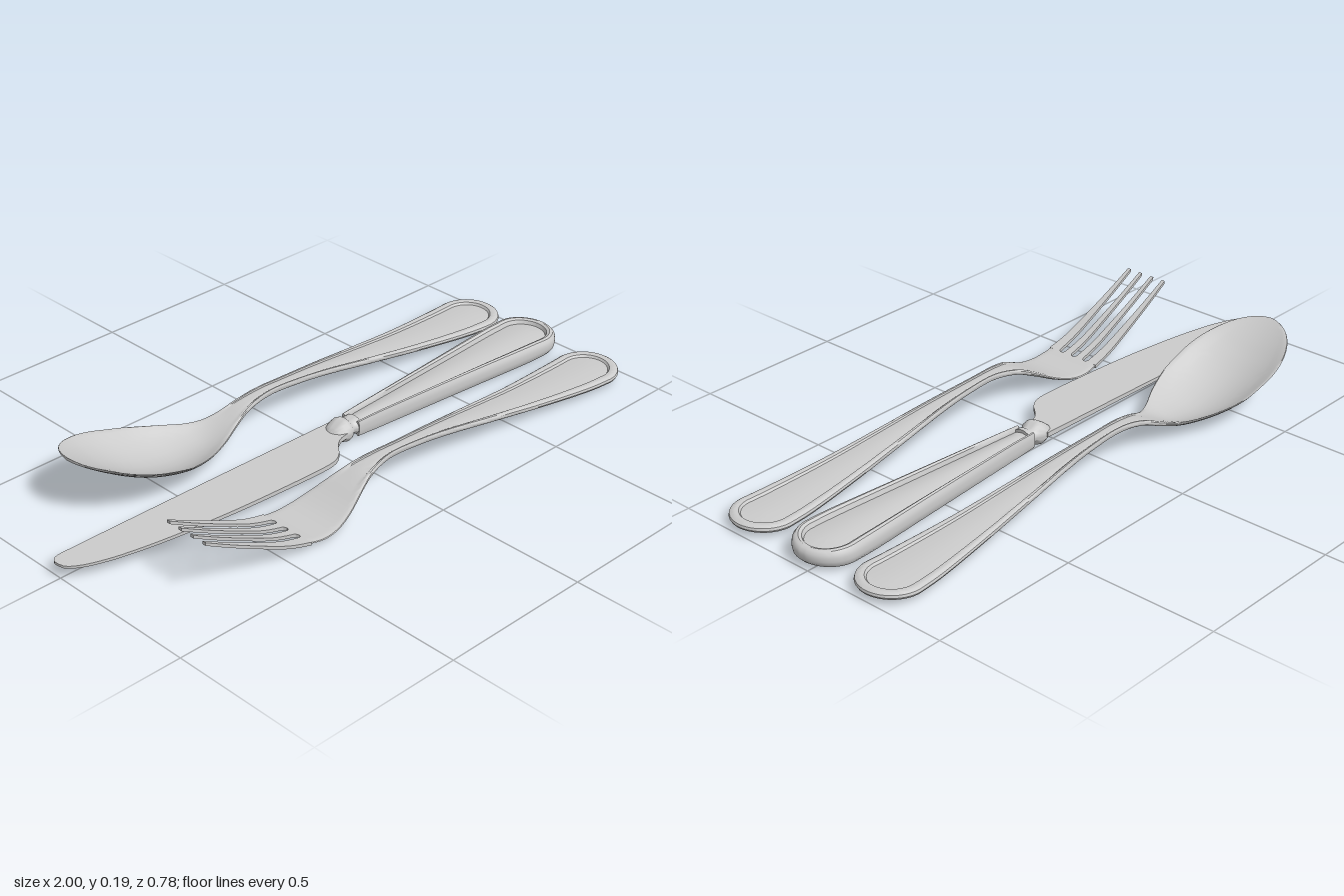
import * as THREE from 'three';
import { toCreasedNormals } from 'three/addons/utils/BufferGeometryUtils.js';

const material = new THREE.MeshStandardMaterial({ color: 0xcccccc, side: THREE.DoubleSide });

// Smooth curve through [x, value] points
function curve(pts) {
  const slope = pts.map((p, i) => {
    const a = pts[Math.max(i - 1, 0)], b = pts[Math.min(i + 1, pts.length - 1)];
    return (b[1] - a[1]) / (b[0] - a[0]);
  });
  return (x) => {
    if (x <= pts[0][0]) return pts[0][1];
    if (x >= pts[pts.length - 1][0]) return pts[pts.length - 1][1];
    const i = pts.findIndex((p) => p[0] > x) - 1;
    const h = pts[i + 1][0] - pts[i][0], t = (x - pts[i][0]) / h, t2 = t * t, t3 = t2 * t;
    return (2 * t3 - 3 * t2 + 1) * pts[i][1] + (t3 - 2 * t2 + t) * h * slope[i]
      + (3 * t2 - 2 * t3) * pts[i + 1][1] + (t3 - t2) * h * slope[i + 1];
  };
}

// Skin a list of closed rings running towards +x, with both ends capped
function loft(name, rings, crease = 0.6) {
  const cap = (ring) => {
    const c = [0, 1, 2].map((k) => ring.reduce((s, p) => s + p[k], 0) / ring.length);
    return ring.map(() => c);
  };
  const all = [cap(rings[0]), ...rings, cap(rings[rings.length - 1])];
  const n = rings[0].length, index = [];
  for (let j = 0; j < all.length - 1; j++) {
    for (let k = 0; k < n; k++) {
      const a = j * n + k, b = j * n + (k + 1) % n;
      index.push(a, a + n, b, b, a + n, b + n);
    }
  }
  const geo = new THREE.BufferGeometry();
  geo.setAttribute('position', new THREE.Float32BufferAttribute(all.flat(2), 3));
  geo.setIndex(index);
  const mesh = new THREE.Mesh(toCreasedNormals(geo, crease), material);
  mesh.name = name;
  return mesh;
}

// Half sections [across, height], from bottom centre round the edge to top centre
const underside = [[0, -1], [0.2, -1], [0.4, -0.98], [0.6, -0.92], [0.76, -0.8], [0.89, -0.6], [0.97, -0.3], [1, 0.1]];
const rimmedTop = [[0.98, 0.6], [0.91, 0.92], [0.82, 1], [0.73, 0.85], [0.68, 0.4], [0.5, 0.5], [0.25, 0.6], [0, 0.64]];
const flatTop = [0.6, 0.9, 1, 1, 1, 1, 1, 1];
const handleSection = [...underside, ...rimmedTop];
const flatSection = handleSection.map((p, i) => [p[0], i < 8 ? p[1] : flatTop[i - 8]]);
const knifeSection = [...rimmedTop.map(([u, v]) => [u, -v]).reverse(), [1, -0.2], [1, 0.2], ...rimmedTop];

// Long body ending in a round handle end; the section turns about the end's centre
const END = 0.895, RADIUS = 0.105;
function body(name, start, { section, width, mid, thick, dish = () => 0, blend = () => 1 }) {
  const stations = [], N = 90, A = 18;
  for (let i = 0; i <= N; i++) {
    const x = start + (END - start) * (i / N) ** 1.5;
    stations.push([x, 0, width(x)]);
  }
  for (let i = 1; i <= A; i++) {
    const a = (i / A) * Math.PI / 2;
    stations.push([END, RADIUS * Math.sin(a), RADIUS * Math.cos(a)]);
  }
  const rings = stations.map(([sx, ox, w]) => {
    const point = (k, side) => {
      const u = section[k][0], x = sx + u * ox;
      const v = section === knifeSection ? section[k][1]
        : THREE.MathUtils.lerp(flatSection[k][1], section[k][1], blend(x));
      return [x, mid(x) - dish(x) * (1 - u * u) + thick(x) * v, side * u * w];
    };
    const keys = section.map((_, k) => k);
    return [...keys.map((k) => point(k, 1)), ...keys.slice(1, -1).reverse().map((k) => point(k, -1))];
  });
  return loft(name, rings);
}

// Flat bar with edges z0(x) and z1(x)
const slab = (name, xs, z0, z1, mid, thick) => loft(name, xs.map((x) => {
  const y = mid(x), t = thick(x), a = z0(x), b = z1(x);
  return [[x, y - t, b], [x, y + t, b], [x, y + t, a], [x, y - t, a]];
}));

const handleWidth = [[0, 0.023], [0.1, 0.026], [0.2, 0.034], [0.4, 0.055], [0.6, 0.076], [0.8, 0.098], [END, RADIUS]];
const handleMid = [[-0.12, 0.093], [-0.04, 0.106], [0.05, 0.104], [0.2, 0.092], [0.4, 0.067], [0.6, 0.043], [0.8, 0.026], [0.9, 0.023], [1, 0.025]];
const thick = curve([[-0.785, 0.005], [-0.3, 0.006], [-0.15, 0.01], [0, 0.012], [0.5, 0.013], [0.9, 0.016], [1, 0.015]]);
const blend = (x) => THREE.MathUtils.smoothstep(x, -0.22, -0.05);

function createSpoon() {
  const g = new THREE.Group();
  g.name = 'spoon';
  const bowlWidth = curve([[-0.55, 0.166], [-0.45, 0.158], [-0.35, 0.125], [-0.27, 0.085], [-0.2, 0.054], [-0.12, 0.033], ...handleWidth]);
  g.add(body('spoonBowlAndHandle', -0.785, {
    section: handleSection, thick, blend,
    width: (x) => x < -0.55 ? 0.166 * Math.sqrt(Math.max(0, 1 - ((x + 0.55) / 0.235) ** 2)) : bowlWidth(x),
    mid: curve([[-0.785, 0.19], [-0.65, 0.145], [-0.45, 0.086], [-0.3, 0.058], [-0.24, 0.056], [-0.19, 0.068], ...handleMid]),
    dish: curve([[-0.785, 0], [-0.7, 0.026], [-0.65, 0.041], [-0.58, 0.056], [-0.5, 0.062], [-0.4, 0.056], [-0.3, 0.032], [-0.22, 0.008], [-0.15, 0]]),
  }));
  g.position.z = -0.224;
  return g;
}

function createFork() {
  const g = new THREE.Group();
  g.name = 'fork';
  const root = -0.415, tip = -0.785, slot = 0.011;
  const mid = curve([[tip, 0.187], [-0.7, 0.142], [-0.6, 0.093], [-0.5, 0.048], [-0.42, 0.024], [-0.36, 0.014], [-0.3, 0.02], [-0.24, 0.04], [-0.18, 0.068], ...handleMid]);
  g.add(body('forkPalmAndHandle', root, {
    section: handleSection, thick, blend, mid,
    width: curve([[root, 0.098], [-0.36, 0.101], [-0.3, 0.096], [-0.24, 0.082], [-0.18, 0.062], [-0.12, 0.043], [-0.06, 0.03], ...handleWidth]),
  }));
  // Four tapering tines with round-bottomed slots between them
  const xs = [];
  for (let i = 0; i <= 24; i++) xs.push(tip + (root - slot - tip) * i / 24);
  for (let i = 1; i <= 8; i++) xs.push(root - slot * (1 - Math.sin(i / 8 * Math.PI / 2)));
  const gap = (x) => slot * Math.sqrt(Math.max(0, 1 - Math.max(0, 1 - (root - x) / slot) ** 2));
  for (let i = 0; i < 4; i++) {
    const edge = (side) => (x) => {
      const s = (root - x) / (root - tip);
      const inner = side < 0 ? i > 0 : i < 3;
      const atRoot = (i - 1.5 + side / 2) * 0.049 - (inner ? side * gap(x) : 0);
      return THREE.MathUtils.lerp(atRoot, (i - 1.5) * 0.048 + side * 0.006, s);
    };
    g.add(slab('tine' + (i + 1), xs, edge(-1), edge(1), mid, thick));
  }
  g.position.z = 0.285;
  return g;
}

function createKnife() {
  const g = new THREE.Group();
  g.name = 'knife';
  const y = 0.039, z = 0.021;
  const handle = body('knifeHandle', 0.1, {
    section: knifeSection, mid: () => y,
    width: curve([[0.1, 0.038], [0.2, 0.045], [0.4, 0.062], [0.6, 0.08], [0.8, 0.099], [END, RADIUS]]),
    thick: curve([[0.1, 0.027], [0.2, 0.03], [0.8, 0.032], [0.92, 0.029], [1, 0.024]]),
  });
  // Swollen collar between blade and handle
  const profile = [[0.01, 0.02, 0.008], [0.025, 0.035, 0.02], [0.045, 0.042, 0.033], [0.06, 0.044, 0.039], [0.073, 0.041, 0.036], [0.084, 0.032, 0.025], [0.093, 0.032, 0.024], [0.1, 0.037, 0.028], [0.115, 0.037, 0.028]];
  const collar = loft('collar', profile.map(([x, w, h]) => Array.from({ length: 32 }, (_, i) => {
    const a = i / 32 * Math.PI * 2;
    return [x, y - h * Math.cos(a), w * Math.sin(a)];
  })), 0.9);
  handle.position.z = collar.position.z = z;
  const back = curve([[-1, -0.022], [-0.995, -0.032], [-0.98, -0.041], [-0.95, -0.043], [-0.5, -0.036], [0.05, -0.024]]);
  const cutting = curve([[-1, -0.01], [-0.995, 0.012], [-0.97, 0.035], [-0.93, 0.055], [-0.85, 0.08], [-0.7, 0.108], [-0.5, 0.132], [-0.3, 0.145], [-0.13, 0.15], [-0.08, 0.143], [-0.045, 0.12], [-0.02, 0.09], [0.01, 0.069], [0.05, 0.062]]);
  const xs = Array.from({ length: 91 }, (_, i) => -1 + 1.05 * (i / 90) ** 1.4);
  const blade = slab('blade', xs, back, cutting, () => y + 0.001, curve([[-1, 0.004], [0.05, 0.008]]));
  g.add(handle, collar, blade);
  return g;
}

export function createModel() {
  const model = new THREE.Group();
  model.name = 'cutlerySet';
  model.add(createSpoon(), createKnife(), createFork());
  return model;
}
